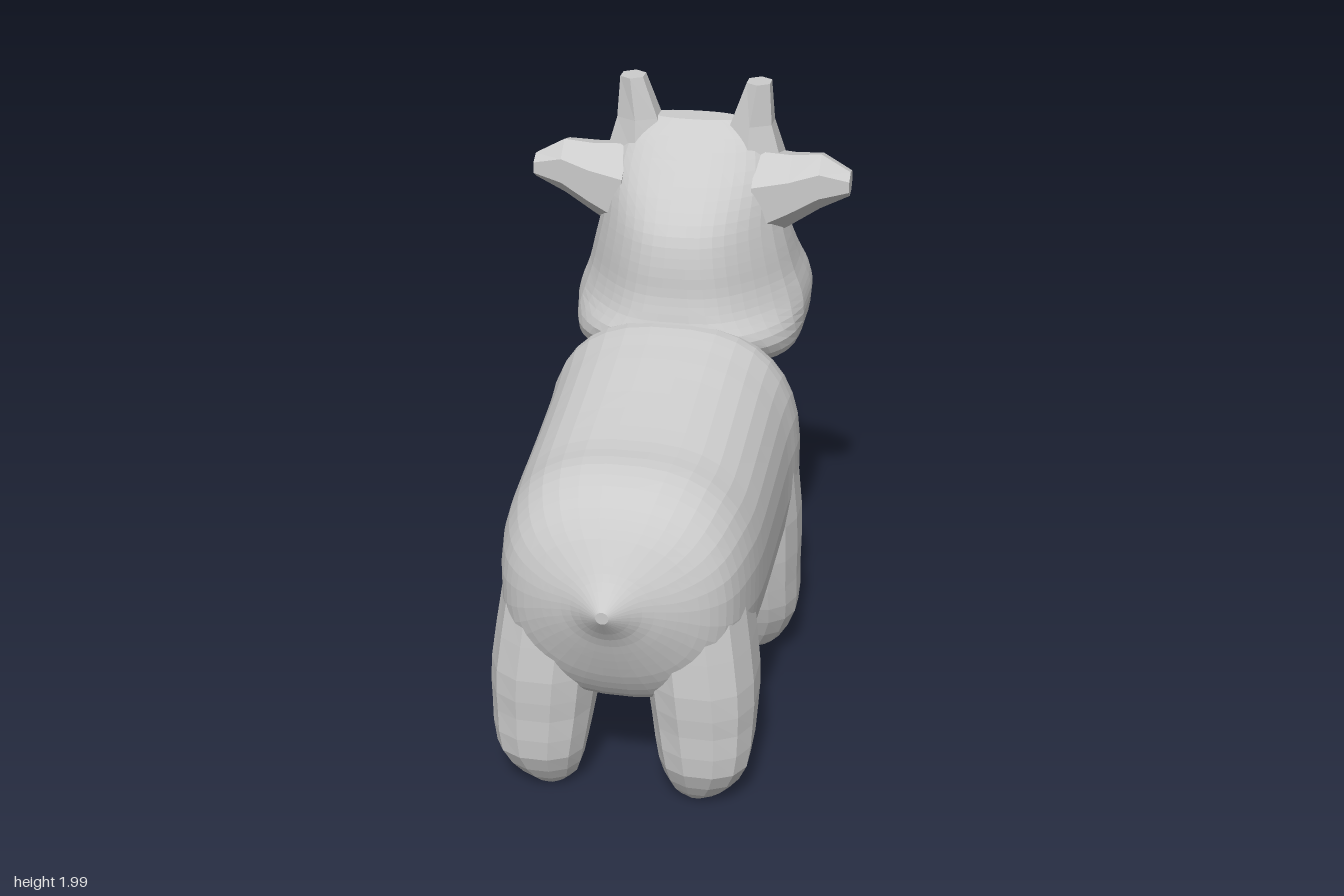
import * as THREE from 'three';

const material = new THREE.MeshStandardMaterial({ color: 0xcccccc, flatShading: true });

// Axis layouts: s runs along the loft, v and u span each cross-section
const alongZ = (s, v, u) => [u, v, s];
const alongY = (s, v, u) => [u, s, v];
const alongX = (s, v, u) => [s, v, u];

// Closed loft through superellipse sections [s, vMin, vMax, uCentre, uHalfWidth, exponent]
function loft(sections, layout, { sides = 28, steps = 3, adjust = null } = {}) {
  const spline = new THREE.CubicInterpolant(
    sections.map((_, i) => i), sections.flat(), 6, new Float32Array(6));
  const rings = (sections.length - 1) * steps + 1;
  const pos = [], index = [];
  const add = (s, v, u) => {
    const p = layout(s, v, u);
    if (adjust) adjust(p);
    pos.push(...p);
  };
  const power = (c, n) => Math.sign(c) * Math.pow(Math.abs(c), 2 / n);
  const ends = [];
  for (let r = 0; r < rings; r++) {
    const [s, lo, hi, cu, w, n] = spline.evaluate(r / steps);
    for (let k = 0; k < sides; k++) {
      const a = ((k + 0.5) / sides) * Math.PI * 2;
      add(s, (lo + hi) / 2 + ((hi - lo) / 2) * power(Math.sin(a), n), cu + w * power(Math.cos(a), n));
    }
    if (r === 0 || r === rings - 1) ends.push([s, (lo + hi) / 2, cu]);
  }
  ends.forEach((e) => add(...e));
  const first = rings * sides, last = first + 1, top = (rings - 1) * sides;
  for (let k = 0; k < sides; k++) {
    const j = (k + 1) % sides;
    for (let r = 0; r < rings - 1; r++) {
      const a = r * sides + k, b = r * sides + j;
      index.push(a, b, b + sides, a, b + sides, a + sides);
    }
    index.push(first, j, k, last, top + k, top + j);
  }
  // Turn the faces outward whatever the layout or mirroring
  let volume = 0;
  const at = (i) => new THREE.Vector3().fromArray(pos, i * 3);
  for (let i = 0; i < index.length; i += 3) {
    volume += at(index[i]).dot(at(index[i + 1]).cross(at(index[i + 2])));
  }
  if (volume < 0) index.reverse();
  const geometry = new THREE.BufferGeometry();
  geometry.setAttribute('position', new THREE.Float32BufferAttribute(pos, 3));
  geometry.setIndex(index);
  geometry.computeVertexNormals();
  return geometry;
}

export function createModel() {
  const model = new THREE.Group();
  model.name = 'calf';
  const add = (name, geometry) => {
    const mesh = new THREE.Mesh(geometry, material);
    mesh.name = name;
    model.add(mesh);
  };

  // Torso, from the brisket to the pointed tail stub
  add('body', loft([
    [-0.50, 0.82, 1.05, 0, 0.10, 2.0],
    [-0.47, 0.68, 1.08, 0, 0.20, 2.0],
    [-0.42, 0.53, 1.10, 0, 0.28, 2.1],
    [-0.35, 0.40, 1.15, 0, 0.37, 2.4],
    [-0.27, 0.32, 1.20, 0, 0.42, 2.6],
    [-0.14, 0.30, 1.265, 0, 0.43, 2.6],
    [0.00, 0.29, 1.245, 0, 0.42, 2.6],
    [0.25, 0.285, 1.19, 0, 0.415, 2.6],
    [0.50, 0.30, 1.14, 0, 0.41, 2.6],
    [0.65, 0.33, 1.13, 0, 0.395, 2.5],
    [0.77, 0.38, 1.08, 0, 0.36, 2.4],
    [0.84, 0.47, 1.01, 0, 0.30, 2.3],
    [0.89, 0.58, 0.94, 0, 0.21, 2.0],
    [0.93, 0.68, 0.88, 0, 0.11, 2.0],
    [0.99, 0.77, 0.81, 0, 0.02, 2.0],
  ], alongZ, { sides: 36 }));

  // Neck and head: narrow nape, and a dent between the two muzzle lobes
  add('head', loft([
    [0.99, -0.84, -0.52, 0, 0.20, 2.5],
    [1.03, -0.89, -0.38, 0, 0.32, 2.8],
    [1.10, -0.945, -0.22, 0, 0.38, 3.2],
    [1.20, -0.99, -0.12, 0, 0.40, 3.2],
    [1.27, -0.99, -0.13, 0, 0.39, 3.0],
    [1.35, -0.945, -0.15, 0, 0.36, 2.8],
    [1.45, -0.875, -0.16, 0, 0.335, 2.6],
    [1.55, -0.83, -0.19, 0, 0.31, 2.5],
    [1.65, -0.79, -0.27, 0, 0.29, 2.5],
    [1.75, -0.745, -0.38, 0, 0.265, 2.4],
    [1.81, -0.68, -0.45, 0, 0.23, 2.4],
    [1.855, -0.61, -0.51, 0, 0.15, 2.2],
  ], alongY, {
    sides: 36,
    adjust: (p) => {
      const nape = THREE.MathUtils.smoothstep(p[2], -0.5, -0.12);
      p[0] *= 1 - 0.3 * nape * THREE.MathUtils.smoothstep(p[1], 1.12, 1.3);
      const muzzle = THREE.MathUtils.smoothstep(-p[2], 0.7, 0.95)
        * (1 - THREE.MathUtils.smoothstep(p[1], 1.25, 1.45));
      p[2] += 0.035 * muzzle * Math.exp(-((p[0] / 0.1) ** 2));
    },
  }));

  for (const [side, m] of [['left', 1], ['right', -1]]) {
    // Stubby legs rising into the torso
    add(side + 'FrontLeg', loft([
      [0.03, -0.25, -0.15, 0.25 * m, 0.07, 2],
      [0.07, -0.31, -0.10, 0.26 * m, 0.12, 2.2],
      [0.20, -0.355, -0.03, 0.275 * m, 0.165, 2.4],
      [0.35, -0.36, 0.02, 0.27 * m, 0.175, 2.4],
      [0.60, -0.36, 0.06, 0.265 * m, 0.18, 2.4],
      [0.95, -0.34, 0.08, 0.24 * m, 0.17, 2.4],
    ], alongY, { sides: 14, steps: 2 }));
    add(side + 'HindLeg', loft([
      [0.00, 0.66, 0.74, 0.24 * m, 0.04, 2],
      [0.04, 0.60, 0.78, 0.25 * m, 0.10, 2],
      [0.15, 0.57, 0.84, 0.265 * m, 0.145, 2.3],
      [0.30, 0.50, 0.85, 0.26 * m, 0.165, 2.4],
      [0.45, 0.45, 0.86, 0.25 * m, 0.175, 2.4],
      [0.70, 0.40, 0.84, 0.22 * m, 0.17, 2.4],
    ], alongY, { sides: 12, steps: 2 }));

    // Angular ears reaching outward
    add(side + 'Ear', loft([
      [0.22 * m, 1.43, 1.77, -0.52, 0.17, 2],
      [0.34 * m, 1.51, 1.765, -0.505, 0.13, 2],
      [0.44 * m, 1.58, 1.775, -0.49, 0.09, 2],
      [0.54 * m, 1.635, 1.72, -0.475, 0.055, 2],
    ], alongX, { sides: 7, steps: 1 }));

    // Short blunt horns
    add(side + 'Horn', loft([
      [1.72, -0.68, -0.44, 0.19 * m, 0.13, 2],
      [1.85, -0.63, -0.47, 0.195 * m, 0.08, 2],
      [1.99, -0.60, -0.49, 0.215 * m, 0.045, 2],
    ], alongY, { sides: 6, steps: 1 }));
  }
  return model;
}
